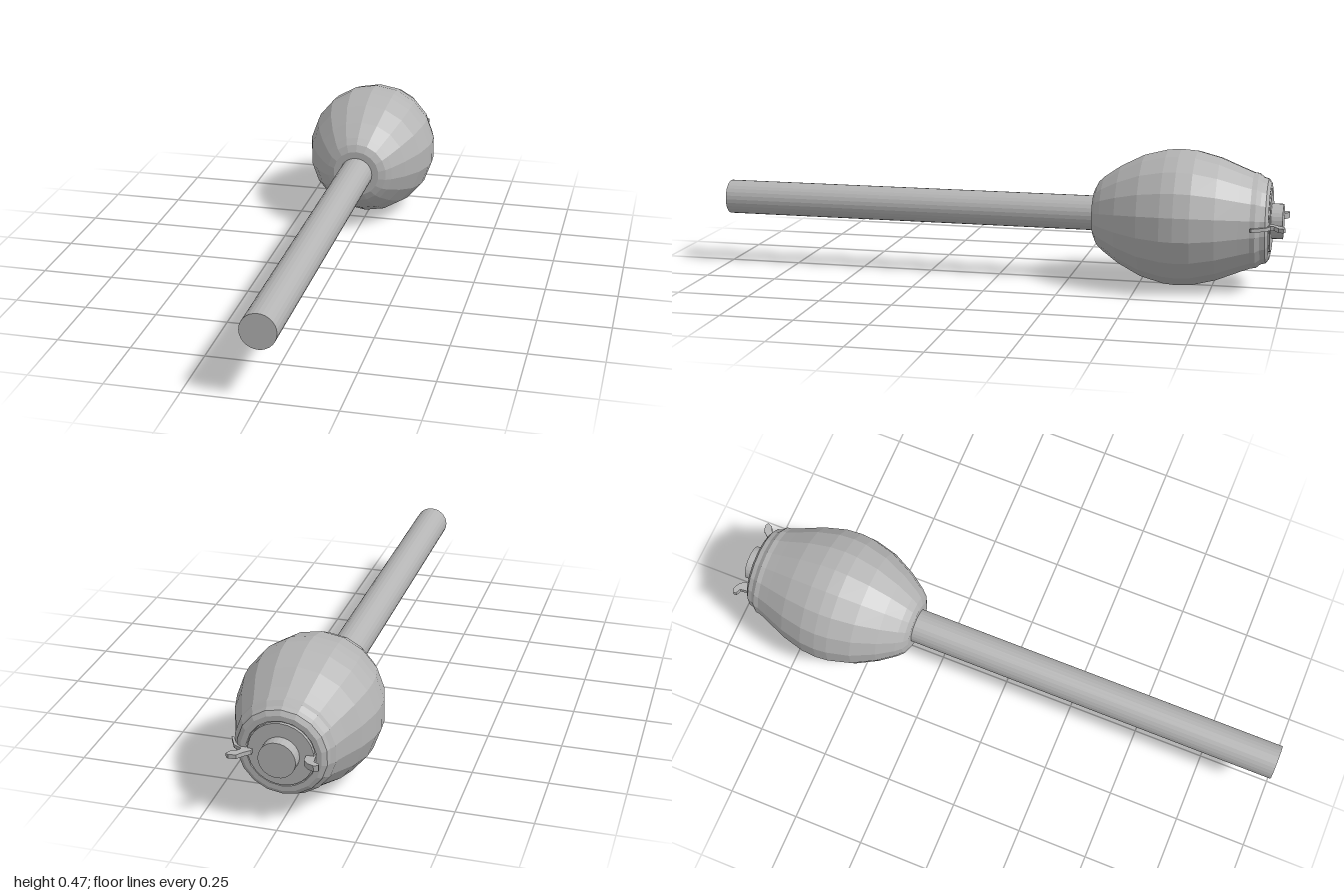
import * as THREE from 'three';

// Everything is built along +y, then the group is tipped so that +y points to the back (-z).
export function createModel() {
  const model = new THREE.Group();
  const axis = new THREE.Group();
  axis.name = 'longAxis';
  axis.rotation.x = -Math.PI / 2;
  axis.position.y = 0.236;
  model.add(axis);

  const grey = new THREE.MeshStandardMaterial({ color: 0xb4b4b4 });
  grey.name = 'plain grey';

  const add = (name, geometry) => {
    const flat = geometry.index ? geometry.toNonIndexed() : geometry;
    flat.computeVertexNormals();
    const mesh = new THREE.Mesh(flat, grey);
    mesh.name = name;
    axis.add(mesh);
    return mesh;
  };
  const vectors = (points) => points.map(([x, y]) => new THREE.Vector2(x, y));

  // Shaft running out of the front
  const shaft = add('shaft', new THREE.CylinderGeometry(0.06, 0.06, 1.37, 28));
  shaft.position.y = -0.315;

  // Faceted barrel-shaped head with a stepped collar at the back
  const profile = [
    [0, 0.34], [0.085, 0.34], [0.11, 0.352], [0.13, 0.373], [0.17, 0.43],
    [0.211, 0.51], [0.232, 0.59], [0.236, 0.635], [0.232, 0.69],
    [0.211, 0.77], [0.18, 0.845], [0.165, 0.883], [0.163, 0.9],
    [0.15, 0.915], [0.145, 0.932], [0.13, 0.942], [0.112, 0.942],
    [0.11, 0.935], [0, 0.935],
  ];
  add('head', new THREE.LatheGeometry(vectors(profile), 18));

  // Round end plate and the cap standing on it
  const plate = add('endPlate', new THREE.CylinderGeometry(0.106, 0.106, 0.012, 28));
  plate.position.y = 0.94;
  const cap = add('endCap', new THREE.CylinderGeometry(0.06, 0.06, 0.05, 28));
  cap.position.y = 0.96;

  // Thin flat fittings on the back: two ears and a safety strip
  const blade = (name, points, thickness) => {
    const geometry = new THREE.ExtrudeGeometry(new THREE.Shape(vectors(points)), {
      depth: thickness, bevelEnabled: false,
    });
    geometry.translate(0, 0, -thickness / 2);
    return add(name, geometry);
  };
  blade('leftEar', [
    [0.088, 0.938], [0.125, 0.938], [0.125, 0.962], [0.152, 0.978],
    [0.158, 0.994], [0.148, 1], [0.125, 0.996], [0.108, 0.975], [0.09, 0.958],
  ], 0.014);
  blade('rightEar', [
    [-0.08, 0.938], [-0.083, 0.975], [-0.1, 0.993], [-0.12, 1], [-0.135, 0.995],
    [-0.133, 0.985], [-0.115, 0.977], [-0.11, 0.938],
  ], 0.02);
  blade('safetyStrip', [
    [0.12, 0.938], [0.148, 0.925], [0.17, 0.885], [0.176, 0.89], [0.153, 0.935], [0.125, 0.95],
  ], 0.012);

  return model;
}
